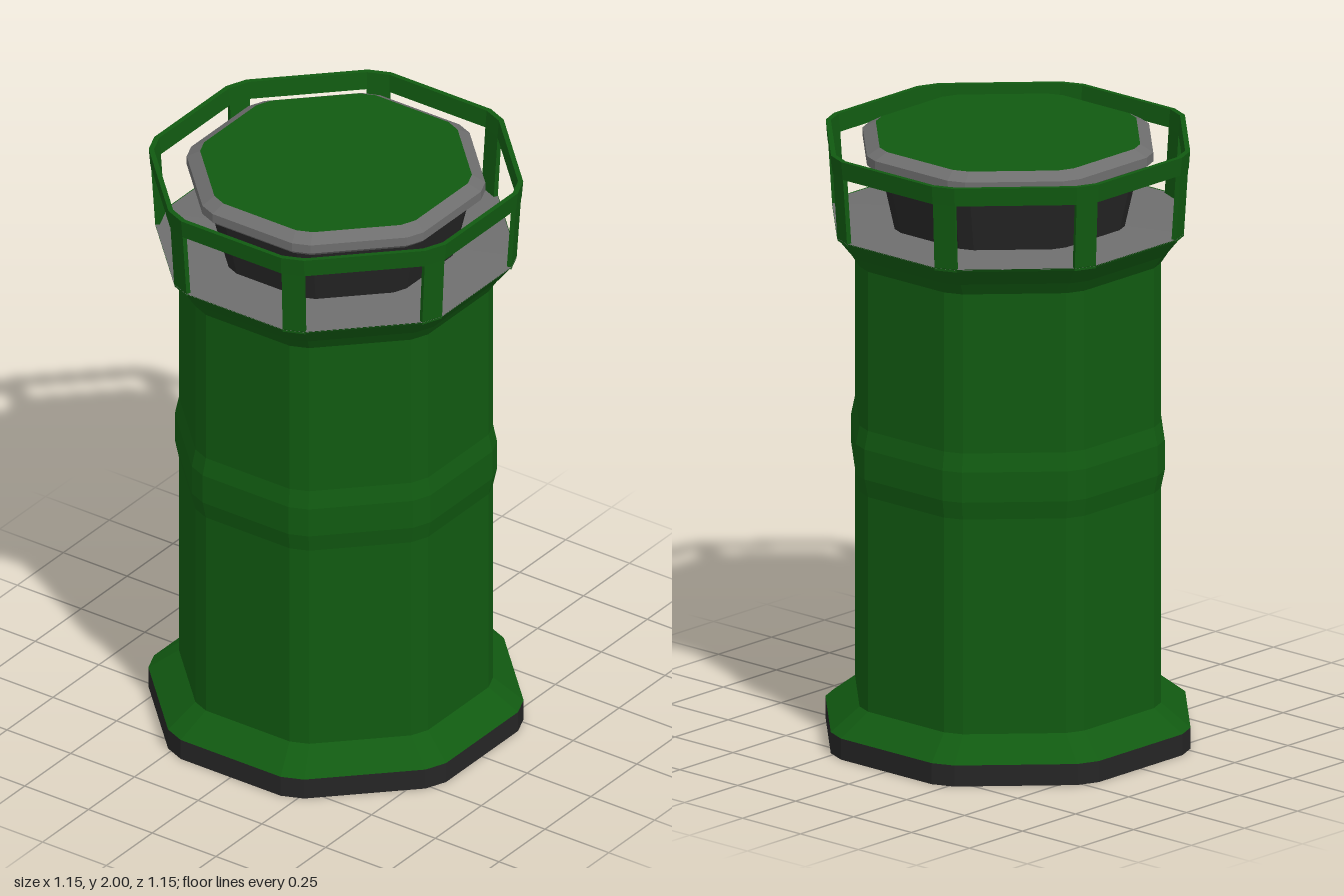
import * as THREE from 'three';

const mat = (name, color, side = THREE.FrontSide) => {
  const m = new THREE.MeshStandardMaterial({ color, side, flatShading: true });
  m.name = name;
  return m;
};

// Corner points of an octagon with clipped corners; a is the distance to its flat faces.
const LONG = Math.atan(0.195 / 0.57);
const CORNER = 1 / Math.cos(LONG);
function ring(a, y) {
  const pts = [];
  for (let k = 0; k < 8; k++) {
    for (const s of [-1, 1]) {
      const t = k * Math.PI / 4 + s * LONG;
      pts.push([a * CORNER * Math.sin(t), y, a * CORNER * Math.cos(t)]);
    }
  }
  return pts;
}

// Skin a list of [a, y] cross-sections; outward facing when it runs upwards.
function loft(profile) {
  const pos = [];
  for (let j = 0; j + 1 < profile.length; j++) {
    const lo = ring(...profile[j]), hi = ring(...profile[j + 1]);
    for (let i = 0; i < 16; i++) {
      const n = (i + 1) % 16;
      pos.push(...lo[i], ...lo[n], ...hi[n]);
      if (profile[j + 1][0] > 0) pos.push(...lo[i], ...hi[n], ...hi[i]);
    }
  }
  const g = new THREE.BufferGeometry();
  g.setAttribute('position', new THREE.Float32BufferAttribute(pos, 3));
  g.computeVertexNormals();
  return g;
}

export function createModel() {
  const group = new THREE.Group();
  const green = mat('green paint', 0x115a11, THREE.DoubleSide);
  const dark = mat('dark rubber', 0x252525, THREE.DoubleSide);
  const grey = mat('grey metal', 0x6e6e6e, THREE.DoubleSide);
  const add = (name, geometry, material) => {
    const mesh = new THREE.Mesh(geometry, material);
    mesh.name = name;
    group.add(mesh);
    return mesh;
  };

  // Open foot band and hollow body with flared ends and a raised belt
  add('baseBand', loft([[0.573, 0], [0.573, 0.07]]), dark);
  add('body', loft([
    [0.573, 0.07], [0.48, 0.145], [0.48, 0.86], [0.492, 0.92], [0.492, 1.02],
    [0.48, 1.08], [0.48, 1.61], [0.505, 1.65], [0.547, 1.705], [0.553, 1.715],
  ]), green);

  // Deck, tapered core and cap
  add('deck', loft([[0.553, 1.713], [0.36, 1.722]]), grey);
  add('core', loft([[0.365, 1.715], [0.412, 1.93]]), dark);
  add('cap', loft([[0.405, 1.925], [0.44, 1.93], [0.456, 1.945], [0.456, 1.975], [0.415, 1.999]]), grey);
  add('capTop', loft([[0.415, 1.999], [0, 2]]), green);

  // Guard rail and its posts on the clipped corners
  add('rail', loft([[0.567, 1.93], [0.572, 1.99], [0.556, 1.99], [0.551, 1.93], [0.567, 1.93]]), green);
  const post = new THREE.BoxGeometry(0.074, 0.235, 0.015);
  post.rotateX(0.065);
  post.translate(0, 1.823, 0.582);
  for (let k = 0; k < 8; k++) {
    add('railPost', post, green).rotation.y = (k + 0.5) * Math.PI / 4;
  }
  return group;
}
